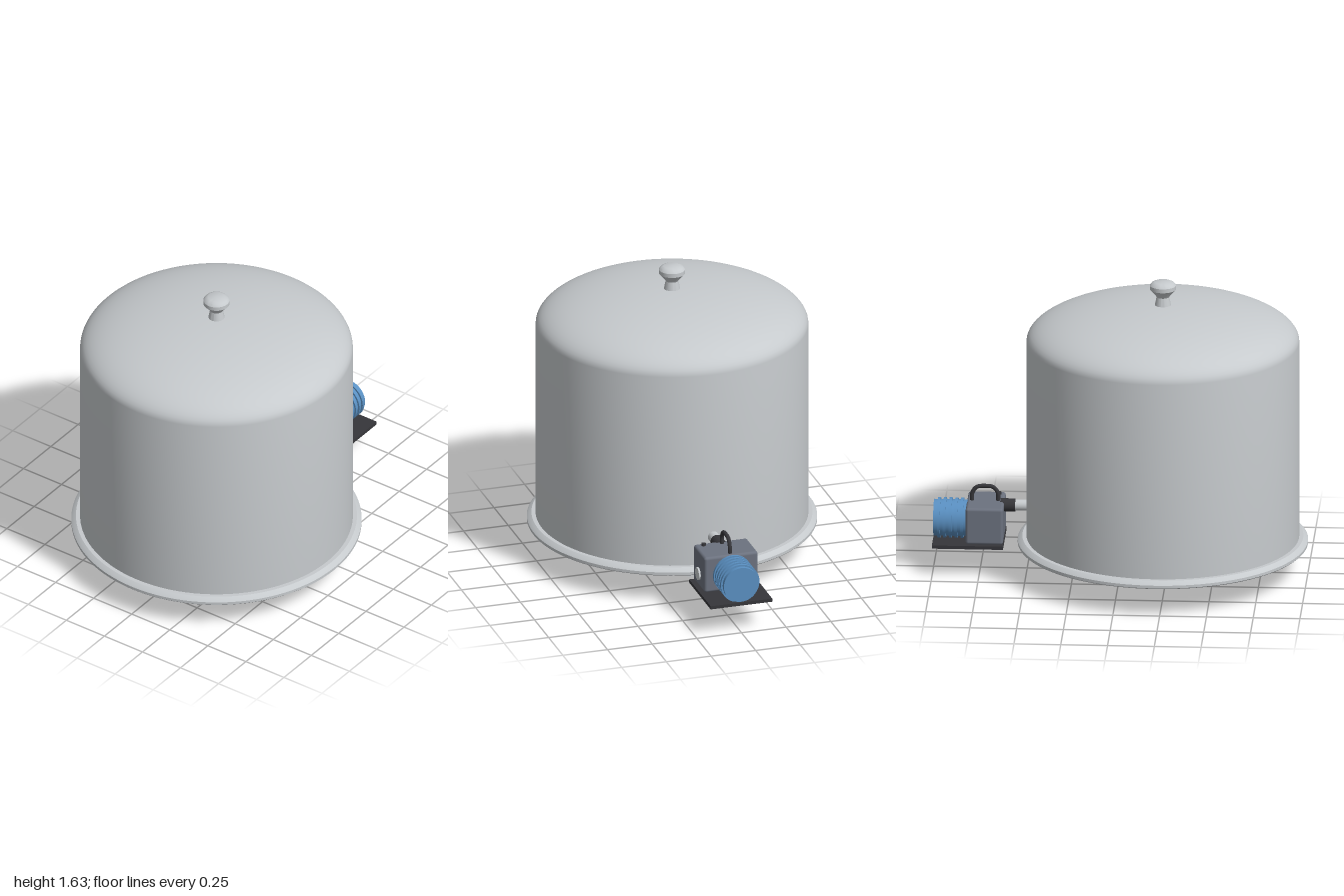
import * as THREE from 'three';
import { toCreasedNormals } from 'three/addons/utils/BufferGeometryUtils.js';
import { RoundedBoxGeometry } from 'three/addons/geometries/RoundedBoxGeometry.js';

const CX = -0.225; // vessel axis

const mat = (name, color, side = THREE.FrontSide) => {
  const m = new THREE.MeshStandardMaterial({ color, side });
  m.name = name;
  return m;
};

export function createModel() {
  const model = new THREE.Group();
  model.name = 'vacuumVessel';
  const steel = mat('lightSteel', 0xc6cacd, THREE.DoubleSide);
  const dark = mat('darkRubber', 0x36363a);
  const slate = mat('slateGrey', 0x6c727f);
  const blue = mat('motorBlue', 0x5a90c2);

  const add = (parent, name, geo, material, x = 0, y = 0, z = 0) => {
    const mesh = new THREE.Mesh(geo, material);
    mesh.name = name;
    mesh.position.set(x, y, z);
    parent.add(mesh);
    return mesh;
  };
  const group = (name, parent = model) => {
    const g = new THREE.Group();
    g.name = name;
    parent.add(g);
    return g;
  };
  const box = (w, h, d) => new THREE.BoxGeometry(w, h, d);
  const lathe = (pts, seg = 96, start = 0, sweep = Math.PI * 2) =>
    toCreasedNormals(new THREE.LatheGeometry(pts.map(([r, y]) => new THREE.Vector2(r, y)), seg, start, sweep), 0.5);
  const rodX = (r, len, seg = 32) => new THREE.CylinderGeometry(r, r, len, seg).rotateZ(-Math.PI / 2);

  // Vessel: straight wall with an elliptical dome
  const vessel = group('vessel');
  vessel.position.x = CX;
  const wall = [[0.728, 0.19], [0.728, 1.3]];
  for (let i = 1; i <= 20; i++) {
    const a = (i / 20) * Math.PI / 2;
    wall.push([Math.max(0, 0.728 * Math.cos(a)), 1.3 + 0.205 * Math.sin(a)]);
  }
  add(vessel, 'domedJar', lathe(wall), steel);
  add(vessel, 'rimFlange', lathe([
    [0.675, 0.195], [0.675, 0.165], [0.77, 0.165], [0.775, 0.17], [0.775, 0.185],
    [0.765, 0.195], [0.75, 0.205], [0.725, 0.205],
  ]), steel);
  add(vessel, 'lidKnob', lathe([
    [0.045, 1.495], [0.034, 1.55], [0.04, 1.56], [0.07, 1.593], [0.07, 1.615],
    [0.06, 1.628], [0.045, 1.635], [0, 1.637],
  ], 40), steel);

  // Floor plate, separated from the rim by an open gap
  const floor = group('floor');
  floor.position.x = CX;
  add(floor, 'floorPlate', new THREE.CylinderGeometry(0.615, 0.615, 0.015, 96), steel, 0, 0.17, 0);
  for (let i = 0; i < 4; i++) {
    const mount = group('floorMount', floor);
    mount.rotation.y = Math.PI / 4 + i * Math.PI / 2;
    add(mount, 'clampBlock', box(0.07, 0.1, 0.14), blue, 0.64, 0.235, 0);
    add(mount, 'clampFoot', box(0.05, 0.03, 0.055), dark, 0.63, 0.172, 0);
    for (const s of [-1, 1]) {
      add(mount, 'clampScrew', new THREE.CylinderGeometry(0.016, 0.016, 0.02, 12), dark, 0.625, 0.168, s * 0.033);
    }
    for (let k = 0; k < 5; k++) {
      const a = k * Math.PI * 0.4;
      add(mount, 'boltHead', new THREE.CylinderGeometry(0.011, 0.011, 0.01, 10), dark,
        0.52 + 0.027 * Math.cos(a), 0.16, 0.027 * Math.sin(a));
    }
  }

  // Half-pipe trough beneath the floor, with a half-ring end flange
  const trough = group('trough');
  const shell = lathe([
    [0, -0.672], [0.07, -0.672], [0.093, -0.663], [0.105, -0.64], [0.105, 0.2], [0.157, 0.2],
    [0.157, 0.214], [0.092, 0.214], [0.092, -0.63], [0, -0.655],
  ], 40, 0, Math.PI).rotateZ(-Math.PI / 2);
  add(trough, 'troughShell', shell, steel, 0, 0.163, 0);
  add(trough, 'troughLip', new RoundedBoxGeometry(0.1, 0.014, 0.12, 2, 0.005), steel, -0.7, 0.154, 0);
  add(trough, 'innerBar', box(0.3, 0.06, 0.09), dark, 0, 0.135, 0);
  add(trough, 'drainStud', new THREE.CylinderGeometry(0.012, 0.012, 0.015, 16), steel, CX, 0.057, 0);
  for (const s of [-1, 1]) {
    const slot = add(trough, 'sideSlot', box(0.16, 0.018, 0.008), steel, CX, 0.091, s * 0.077);
    slot.rotation.x = s * 0.75;
  }
  // U-shaped straps holding the trough
  for (const x of [-0.505, 0.055]) {
    const strap = group('strap', trough);
    strap.position.x = x;
    add(strap, 'strapBar', box(0.06, 0.016, 0.25), dark, 0, 0.053, 0);
    for (const s of [-1, 1]) add(strap, 'strapLeg', box(0.06, 0.094, 0.016), dark, 0, 0.092, s * 0.117);
  }

  // Pump on its base plate
  const pump = group('pump');
  add(pump, 'pumpBase', box(0.38, 0.018, 0.345), dark, 0.81, 0.173, 0);
  add(pump, 'pumpBody', new RoundedBoxGeometry(0.2, 0.203, 0.3, 3, 0.015), slate, 0.722, 0.283, 0);
  add(pump, 'motor', rodX(0.098, 0.18, 48), blue, 0.908, 0.283, 0);
  for (let i = 0; i < 5; i++) {
    add(pump, 'motorRib', rodX(0.108, 0.015, 48), blue, 0.846 + i * 0.031, 0.283, 0);
  }
  add(pump, 'sightGlass', new THREE.CylinderGeometry(0.035, 0.035, 0.02, 32).rotateX(Math.PI / 2), steel, 0.72, 0.255, 0.15);
  add(pump, 'fillerCap', new THREE.CylinderGeometry(0.012, 0.012, 0.016, 16), dark, 0.655, 0.39, 0.103);

  // Arched carrying handle
  const arch = new THREE.CatmullRomCurve3([
    [0.656, 0.375], [0.657, 0.425], [0.68, 0.458], [0.725, 0.465], [0.77, 0.458], [0.793, 0.425], [0.794, 0.375],
  ].map(([x, y]) => new THREE.Vector3(x, y, 0)));
  add(pump, 'handle', new THREE.TubeGeometry(arch, 36, 0.011, 12), dark);

  // Suction line into the vessel
  add(pump, 'suctionPipe', rodX(0.03, 0.1), steel, 0.525, 0.36, 0);
  add(pump, 'hoseCoupling', rodX(0.035, 0.08), dark, 0.603, 0.36, 0);

  return model;
}
